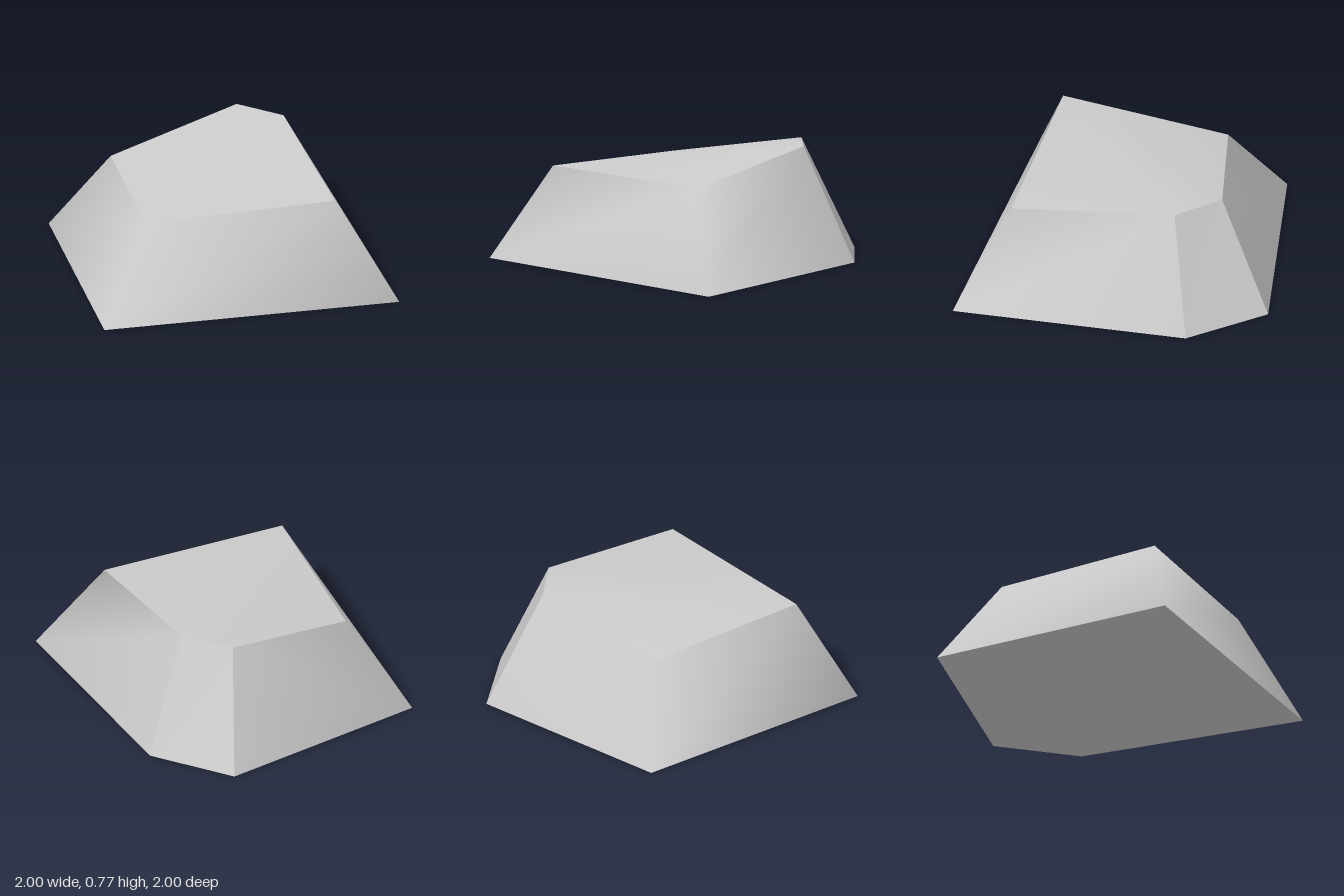
import * as THREE from 'three';

// Corner rings, counterclockwise from above, starting at the front corner on -x
const base = [[-1, 0.01, 1], [1, 0, 1], [0.84, 0.005, -0.56], [0.42, 0, -1], [-0.98, 0, -0.7]];
const crown = [[-0.66, 0.64, 0.75], [0.63, 0.645, 0.71], [0.54, 0.77, -0.39], [0.28, 0.765, -0.64], [-0.63, 0.595, -0.4]];

function surface(points, index) {
  const geometry = new THREE.BufferGeometry();
  geometry.setAttribute('position', new THREE.Float32BufferAttribute(points.flat(), 3));
  geometry.setIndex(index);
  geometry.computeVertexNormals();
  return geometry;
}

// Smooth wall through the listed corners; flipped holds the spans with the other diagonal
function wall(corners, flipped = []) {
  const points = [], index = [];
  corners.forEach((c) => points.push(base[c], crown[c]));
  for (let i = 0; i < corners.length - 1; i++) {
    const b = 2 * i, t = b + 1, b2 = b + 2, t2 = b + 3;
    if (flipped.includes(i)) index.push(b, b2, t, b2, t2, t);
    else index.push(b, b2, t2, b, t2, t);
  }
  return surface(points, index);
}

export function createModel() {
  const group = new THREE.Group();
  group.name = 'rock';
  const stone = new THREE.MeshStandardMaterial({ color: 0xcccccc });
  stone.name = 'stone grey';

  const add = (name, geometry) => {
    const mesh = new THREE.Mesh(geometry, stone);
    mesh.name = name;
    group.add(mesh);
  };

  // Rounded-shaded sides, then the sharp chipped corner at the back
  add('sides', wall([3, 4, 0, 1, 2], [0]));
  add('chippedCorner', wall([2, 3]));

  // Sloping top and flat underside
  add('top', surface(crown, [0, 1, 2, 0, 2, 3, 0, 3, 4]));
  add('underside', surface(base, [0, 2, 1, 0, 3, 2, 0, 4, 3]));

  return group;
}
